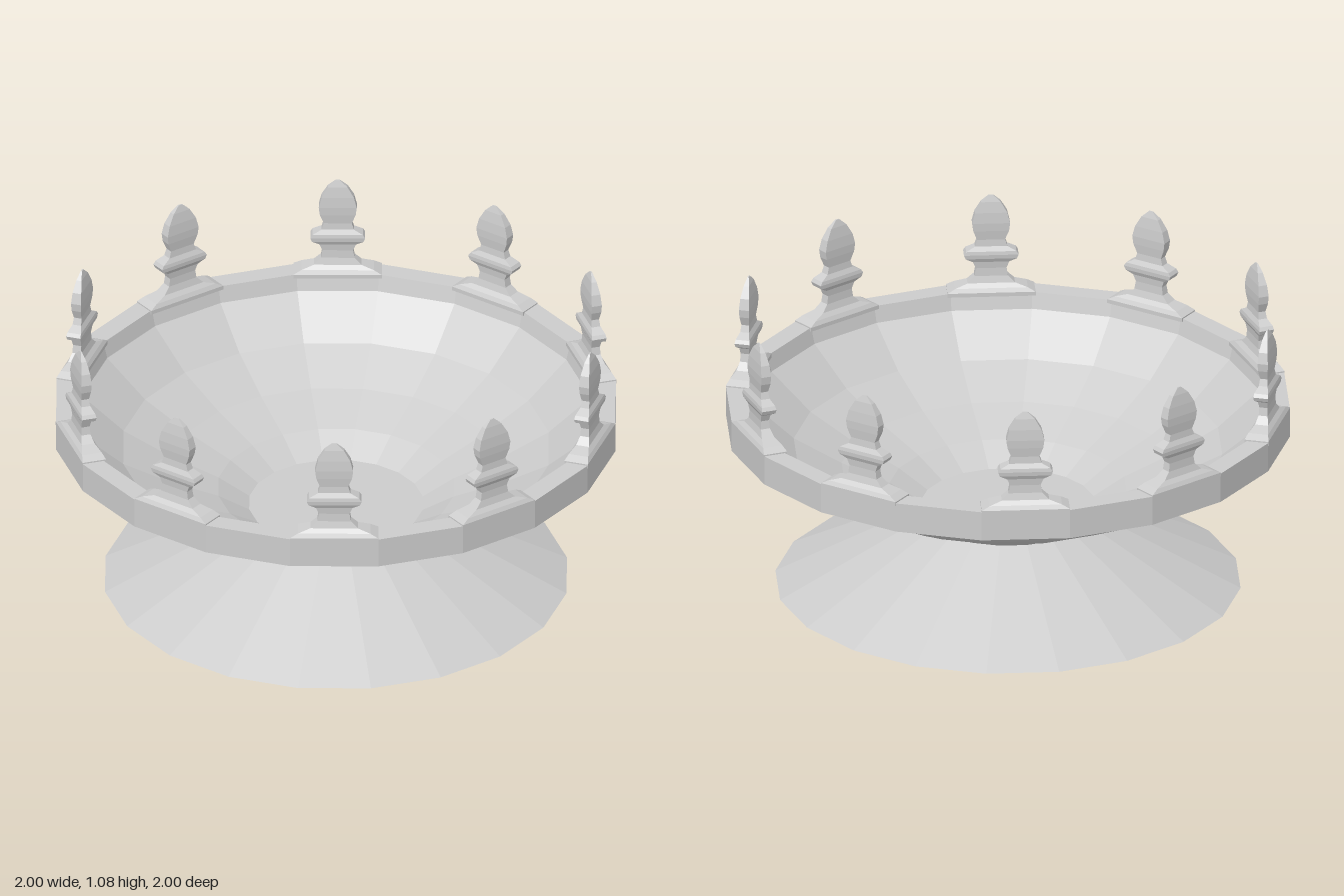
import * as THREE from 'three';

const SIDES = 20;
const FINIALS = 10;

// Faceted solid of revolution; radii are measured to the middle of each flat side
function facetedLathe(profile, sides) {
  const k = 1 / Math.cos(Math.PI / sides);
  const points = profile.map(([r, y]) => new THREE.Vector2(r * k, y));
  return new THREE.LatheGeometry(points, sides, Math.PI / sides);
}

export function createModel() {
  const group = new THREE.Group();
  const material = new THREE.MeshStandardMaterial({ color: 0xcccccc, flatShading: true });

  const add = (name, geometry) => {
    const mesh = new THREE.Mesh(geometry, material);
    mesh.name = name;
    group.add(mesh);
    return mesh;
  };

  // Flared foot with a closed underside
  add('foot', facetedLathe([[0, 0], [0.825, 0], [0.31, 0.27]], SIDES));

  // Bowl: outer wall, flat-topped rim band, then the inner wall down to the floor
  add('bowlOuter', facetedLathe(
    [[0.31, 0.27], [0.43, 0.33], [0.59, 0.4], [0.75, 0.48], [0.92, 0.6]], SIDES));
  add('rim', facetedLathe([[0.92, 0.6], [1, 0.6], [1, 0.71], [0.925, 0.71]], SIDES));
  add('bowlInner', facetedLathe(
    [[0.925, 0.71], [0.91, 0.65], [0.76, 0.52], [0.59, 0.43], [0.42, 0.36], [0.31, 0.295], [0, 0.295]], SIDES));

  // Flat four-sided finial: plinth, neck, bead and spear tip
  const finial = facetedLathe([
    [0, 0.7], [0.158, 0.7], [0.158, 0.715], [0.13, 0.73], [0.085, 0.745], [0.06, 0.77],
    [0.055, 0.8], [0.065, 0.825], [0.092, 0.84], [0.098, 0.855], [0.09, 0.868], [0.058, 0.885],
    [0.05, 0.91], [0.064, 0.945], [0.068, 0.975], [0.058, 1.015], [0.035, 1.055], [0.008, 1.08], [0, 1.08],
  ], 4);
  finial.scale(0.28, 1, 1);
  finial.translate(0.957, 0, 0);

  // One finial over every second side of the rim
  for (let i = 0; i < FINIALS; i++) {
    add('finial' + (i + 1), finial).rotation.y = (i * Math.PI * 2) / FINIALS;
  }
  return group;
}
